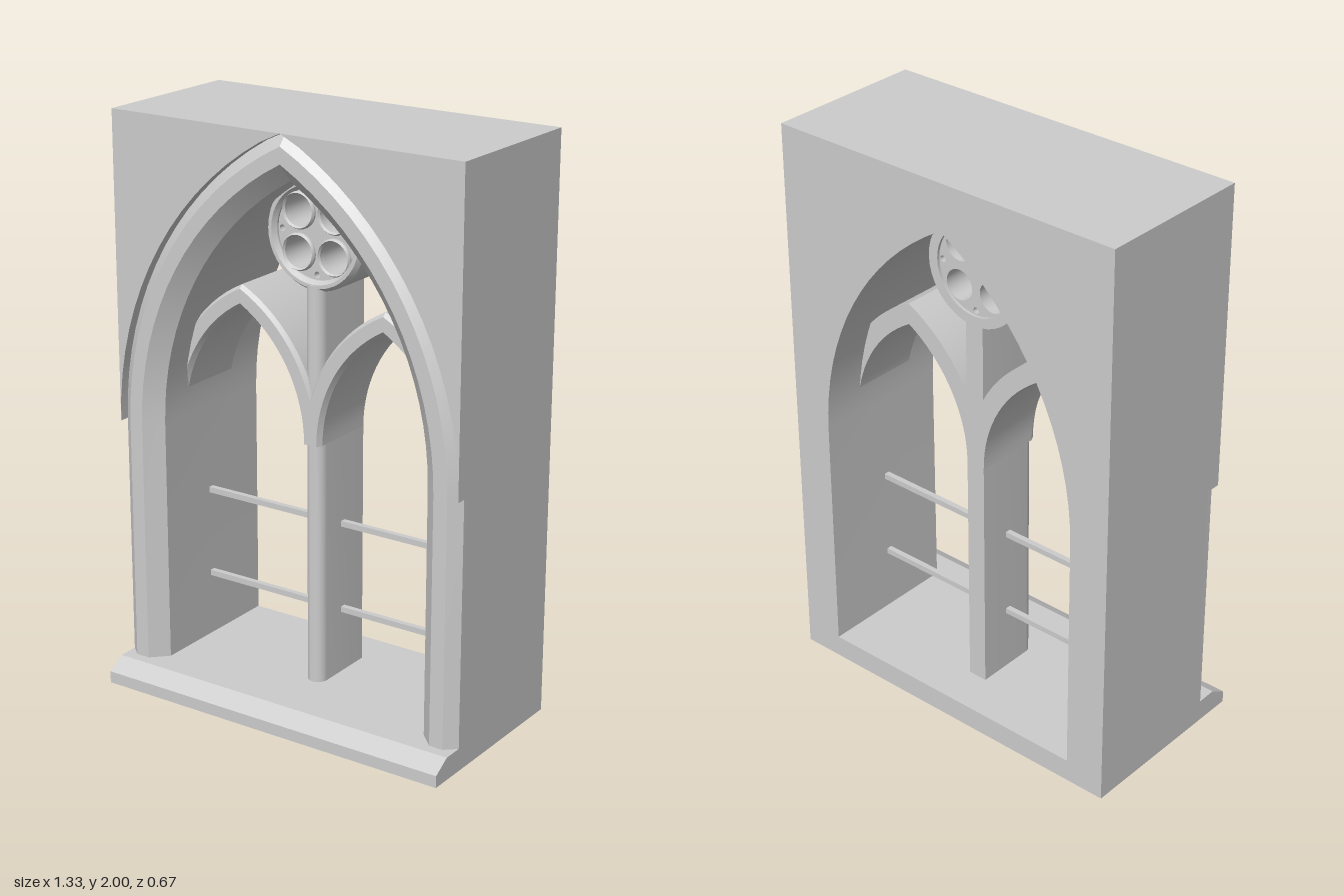
import * as THREE from 'three';
import { toCreasedNormals } from 'three/addons/utils/BufferGeometryUtils.js';

const stone = new THREE.MeshStandardMaterial({ color: 0xcccccc });
const W = 0.665, TOP = 2, BACK = -0.335, FRONT = 0.235, FLOOR = 0.08, SPRING = 0.935;
const BIG_C = 0.5275;   // centre offset of the large pointed arch
const SMALL_C = 0.246;  // centre offset of the small pointed arches
const TRACERY_BACK = -0.185;

function add(parent, name, geometry) {
  const mesh = new THREE.Mesh(toCreasedNormals(geometry, 0.4), stone);
  mesh.name = name;
  parent.add(mesh);
  return mesh;
}

function extrude(shape, z0, z1, curveSegments = 16) {
  return new THREE.ExtrudeGeometry(shape, { depth: z1 - z0, bevelEnabled: false, curveSegments }).translate(0, 0, z0);
}

// Pointed arch of half-width w, from the right foot over the apex to the left foot
function archPoints(w, c, foot = SPRING, n = 16) {
  const R = w + c, end = Math.acos(c / R), right = [];
  if (foot < SPRING) right.push(new THREE.Vector2(w, foot));
  for (let i = 0; i <= n; i++) {
    const a = end * i / n;
    right.push(new THREE.Vector2(R * Math.cos(a) - c, Math.min(TOP, SPRING + R * Math.sin(a))));
  }
  const left = right.slice(0, -1).reverse().map(p => new THREE.Vector2(-p.x, p.y));
  return [...right, ...left];
}

// Convex section of [half-width, z] (inner back, front, outer back) run along an arch
function archMoulding(section, c, foot) {
  const rails = section.map(([w]) => archPoints(w, c, foot));
  const m = section.length, n = rails[0].length, pos = [], idx = [];
  for (let i = 0; i < n; i++)
    for (let j = 0; j < m; j++) pos.push(rails[j][i].x, rails[j][i].y, section[j][1]);
  for (let i = 0; i < n - 1; i++)
    for (let j = 0; j < m; j++) {
      const k = (j + 1) % m, a = i * m + j, b = i * m + k;
      idx.push(a, b, b + m, a, b + m, a + m);
    }
  const last = (n - 1) * m;
  for (let j = 1; j < m - 1; j++) idx.push(0, j + 1, j, last, last + j, last + j + 1);
  const g = new THREE.BufferGeometry();
  g.setAttribute('position', new THREE.Float32BufferAttribute(pos, 3));
  g.setIndex(idx);
  return g;
}

// Ring facing +z from a closed [radius, z] profile
function ring(profile, segments) {
  const pts = [...profile, profile[0]].map(([r, z]) => new THREE.Vector2(r, z));
  return new THREE.LatheGeometry(pts, segments).rotateX(Math.PI / 2);
}

function circleHole(x, y, r) {
  return new THREE.Path().absarc(x, y, r, 0, Math.PI * 2, true);
}

function createRosette() {
  const rosette = new THREE.Group();
  rosette.name = 'rosette';
  rosette.position.y = 1.64;
  add(rosette, 'rosetteRing', ring([[0.152, TRACERY_BACK], [0.187, TRACERY_BACK], [0.187, 0.04],
    [0.175, 0.058], [0.163, 0.058], [0.152, 0.04]], 40));
  // pierced plate: four foils and small eyes between them
  const plate = new THREE.Shape().absarc(0, 0, 0.16, 0, Math.PI * 2, false);
  for (let i = 0; i < 4; i++) {
    const a = i * Math.PI / 2, d = a + Math.PI / 4;
    plate.holes.push(circleHole(0.097 * Math.cos(d), 0.097 * Math.sin(d), 0.053));
    plate.holes.push(circleHole(0.136 * Math.cos(a), 0.136 * Math.sin(a), 0.011));
    const foil = add(rosette, 'foilRing', ring([[0.053, 0.02], [0.063, 0.02], [0.063, 0.04],
      [0.058, 0.048], [0.053, 0.04]], 24));
    foil.position.set(0.097 * Math.cos(d), 0.097 * Math.sin(d), 0);
  }
  add(rosette, 'rosettePlate', extrude(plate, TRACERY_BACK + 0.01, 0.033, 12));
  return rosette;
}

export function createModel() {
  const model = new THREE.Group();
  model.name = 'gothicWindow';

  // wall block with the large opening
  const wall = new THREE.Shape([[-W, 0], [W, 0], [W, TOP], [-W, TOP]].map(p => new THREE.Vector2(...p)));
  wall.holes.push(new THREE.Path(archPoints(0.52, BIG_C, FLOOR)));
  add(model, 'wall', extrude(wall, BACK, 0.18));

  // moulded frame around the opening
  add(model, 'frameMoulding', archMoulding(
    [[0.52, 0.18], [0.575, FRONT], [0.625, FRONT], [W, 0.2], [W, 0.18]], BIG_C, FLOOR));

  // raised wall corners above the arch
  const outer = archPoints(W, BIG_C);
  const half = outer.slice(0, (outer.length + 1) / 2);
  for (const s of [1, -1]) {
    const pts = [...half, new THREE.Vector2(W, TOP)].map(p => new THREE.Vector2(s * p.x, p.y));
    add(model, 'spandrel', extrude(new THREE.Shape(pts), 0.18, FRONT));
  }

  // sloped sill, profile drawn in (-z, y) and turned to run along x
  const sill = new THREE.Shape([[-0.335, 0], [-0.18, 0], [-0.18, FLOOR], [-0.272, FLOOR], [-0.335, 0.042]]
    .map(p => new THREE.Vector2(...p)));
  add(model, 'sill', extrude(sill, -W, W).rotateY(Math.PI / 2));

  // centre mullion with a rounded front, drawn in (x, -z) and turned upright
  const post = new THREE.Shape();
  post.moveTo(0.035, -TRACERY_BACK);
  post.lineTo(-0.035, -TRACERY_BACK);
  post.lineTo(-0.035, -0.03);
  post.absarc(0, -0.03, 0.035, Math.PI, Math.PI * 2, false);
  add(model, 'mullion', extrude(post, FLOOR, 1.475, 8).rotateX(-Math.PI / 2));

  // two small pointed arches and their crossbars
  for (const s of [1, -1]) {
    const rib = add(model, 'lancetArch', archMoulding(
      [[0.245, TRACERY_BACK], [0.245, 0.055], [0.256, 0.075], [0.3, 0.075], [0.311, 0.06], [0.311, TRACERY_BACK]],
      SMALL_C, SPRING));
    rib.position.x = s * 0.28;
    for (const y of [0.312, 0.625]) {
      const bar = add(model, 'crossbar', new THREE.BoxGeometry(0.5, 0.02, 0.02));
      bar.position.set(s * 0.278, y, -0.065);
    }
  }

  model.add(createRosette());
  return model;
}
